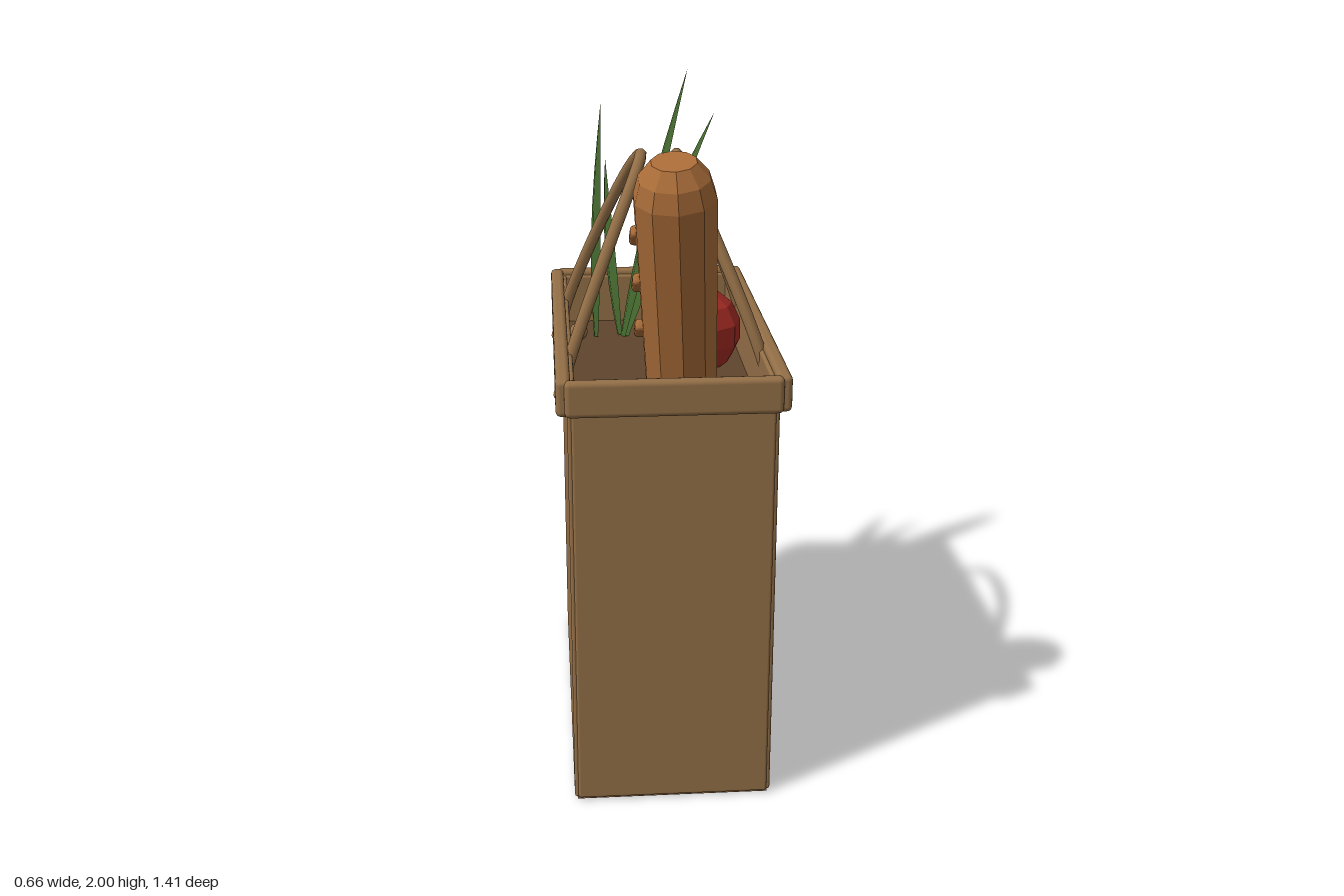
import * as THREE from 'three';
import { RoundedBoxGeometry } from 'three/addons/geometries/RoundedBoxGeometry.js';

const V = (x, y, z) => new THREE.Vector3(x, y, z);

export function createModel() {
  const group = new THREE.Group();
  group.name = 'groceryBag';
  const mat = (name, color, flat = false) => {
    const m = new THREE.MeshStandardMaterial({ color, flatShading: flat });
    m.name = name;
    return m;
  };
  const paper = mat('brownPaper', 0x936f47);
  const inside = mat('darkInterior', 0x5e452d);
  const crust = mat('breadCrust', 0xab6d39, true);
  const red = mat('appleRed', 0xa62c25, true);
  const green = mat('leafGreen', 0x41642c, true);
  const bark = mat('stemBrown', 0x4a3521, true);

  const add = (name, geometry, material, x = 0, y = 0, z = 0) => {
    const mesh = new THREE.Mesh(geometry, material);
    mesh.name = name;
    mesh.position.set(x, y, z);
    group.add(mesh);
    return mesh;
  };
  const rounded = (name, w, h, d, r, x, y, z, m = paper) =>
    add(name, new RoundedBoxGeometry(w, h, d, 2, r), m, x, y, z);

  const zc = 0.016; // middle of the bag along z

  // Bag: four panels, a base and a raised inner floor
  for (const s of [-1, 1]) {
    rounded('sidePanel', 0.022, 1.3, 1.17, 0.008, s * 0.282, 0.66, zc);
    rounded('endPanel', 0.565, 1.3, 0.022, 0.008, 0, 0.66, zc + s * 0.581);
    // Folded rim
    rounded('sideRim', 0.042, 0.105, 1.21, 0.015, s * 0.303, 1.277, zc);
    rounded('endRim', 0.6, 0.105, 0.038, 0.015, 0, 1.277, zc + s * 0.6);
  }
  add('bagBase', new THREE.BoxGeometry(0.57, 0.02, 1.16), paper, 0, 0.012, zc);
  add('innerFloor', new THREE.BoxGeometry(0.56, 0.02, 1.15), inside, 0, 1.14, zc);

  // Handles: leaning arches whose ends pass through the walls, with inner knots
  const arch = [[0.31, 1.185, 0.295], [0.265, 1.33, 0.285], [0.145, 1.63, 0.18], [0.075, 1.785, 0.085]];
  for (const s of [-1, 1]) {
    const points = [
      ...arch.map(([x, y, z]) => V(s * x, y, zc + z)),
      V(s * 0.053, 1.828, zc),
      ...arch.slice().reverse().map(([x, y, z]) => V(s * x, y, zc - z)),
    ];
    add('handle', new THREE.TubeGeometry(new THREE.CatmullRomCurve3(points), 40, 0.018, 8), paper);
    for (const e of [-1, 1]) {
      add('handleKnot', new THREE.SphereGeometry(0.03, 10, 8), paper, s * 0.24, 1.195, zc + e * 0.297);
      add('handleTip', new THREE.SphereGeometry(0.018, 8, 6), paper, s * 0.31, 1.185, zc + e * 0.295);
    }
  }

  // Bread loaf leaning against the front rim
  const foot = V(0.04, 1.13, 0.41), top = V(-0.005, 1.92, 0.622);
  const axis = top.clone().sub(foot);
  const len = axis.length();
  const profile = [[0, 0], [0.1, 0], [0.108, len * 0.5], [0.114, len - 0.1], [0.098, len - 0.045], [0.062, len], [0, len]];
  const loaf = add('breadLoaf',
    new THREE.LatheGeometry(profile.map(([r, y]) => new THREE.Vector2(r, y)), 10), crust, ...foot.toArray());
  loaf.quaternion.setFromUnitVectors(V(0, 1, 0), axis.clone().normalize());
  // Diagonal crust ridges along one side
  for (const y of [1.43, 1.57, 1.71]) {
    const p = foot.clone().lerp(top, (y - foot.y) / axis.y);
    const ridge = rounded('crustRidge', 0.035, 0.035, 0.085, 0.012, p.x - 0.106, y, p.z - 0.02, crust);
    ridge.rotation.x = -0.55;
  }

  // Apple with a stem
  add('apple', new THREE.SphereGeometry(0.142, 10, 7), red, 0.125, 1.258, -0.07);
  const stem = add('appleStem', new THREE.CylinderGeometry(0.014, 0.011, 0.13, 6), bark, 0.14, 1.43, -0.06);
  stem.rotation.set(0.12, 0, -0.1);

  // Leaf blades: a four-sided tube swept from base to tip, wide and thin
  const blade = (base, tip, lean) => {
    const mid = base.clone().lerp(tip, 0.5).add(lean);
    const path = new THREE.QuadraticBezierCurve3(base, mid, tip);
    const geo = new THREE.CylinderGeometry(1, 1, 1, 4, 7, true);
    const pos = geo.attributes.position;
    for (let i = 0; i < pos.count; i++) {
      const t = Math.min(1, Math.max(0, pos.getY(i) + 0.5));
      const dir = path.getTangent(t);
      const wide = V(0.35, 0, 1).addScaledVector(dir, -V(0.35, 0, 1).dot(dir)).normalize();
      const thick = wide.clone().cross(dir);
      const size = t > 0.99 ? 0.0005 : 0.018 * (1 - t) + 0.031 * Math.sin(Math.PI * Math.pow(t, 0.85));
      const p = path.getPoint(t)
        .addScaledVector(wide, pos.getX(i) * size)
        .addScaledVector(thick, pos.getZ(i) * size * 0.28);
      pos.setXYZ(i, p.x, p.y, p.z);
    }
    geo.computeVertexNormals();
    add('leafBlade', geo, green);
  };
  blade(V(-0.09, 1.15, -0.37), V(0.135, 2.0, -0.54), V(-0.01, 0.02, 0.01));
  blade(V(-0.08, 1.15, -0.37), V(0.235, 1.845, -0.63), V(-0.02, 0.03, 0));
  blade(V(-0.18, 1.15, -0.37), V(-0.15, 1.89, -0.54), V(-0.015, 0, 0.01));
  blade(V(-0.1, 1.15, -0.38), V(-0.13, 1.68, -0.705), V(-0.02, 0.02, 0));

  return group;
}
